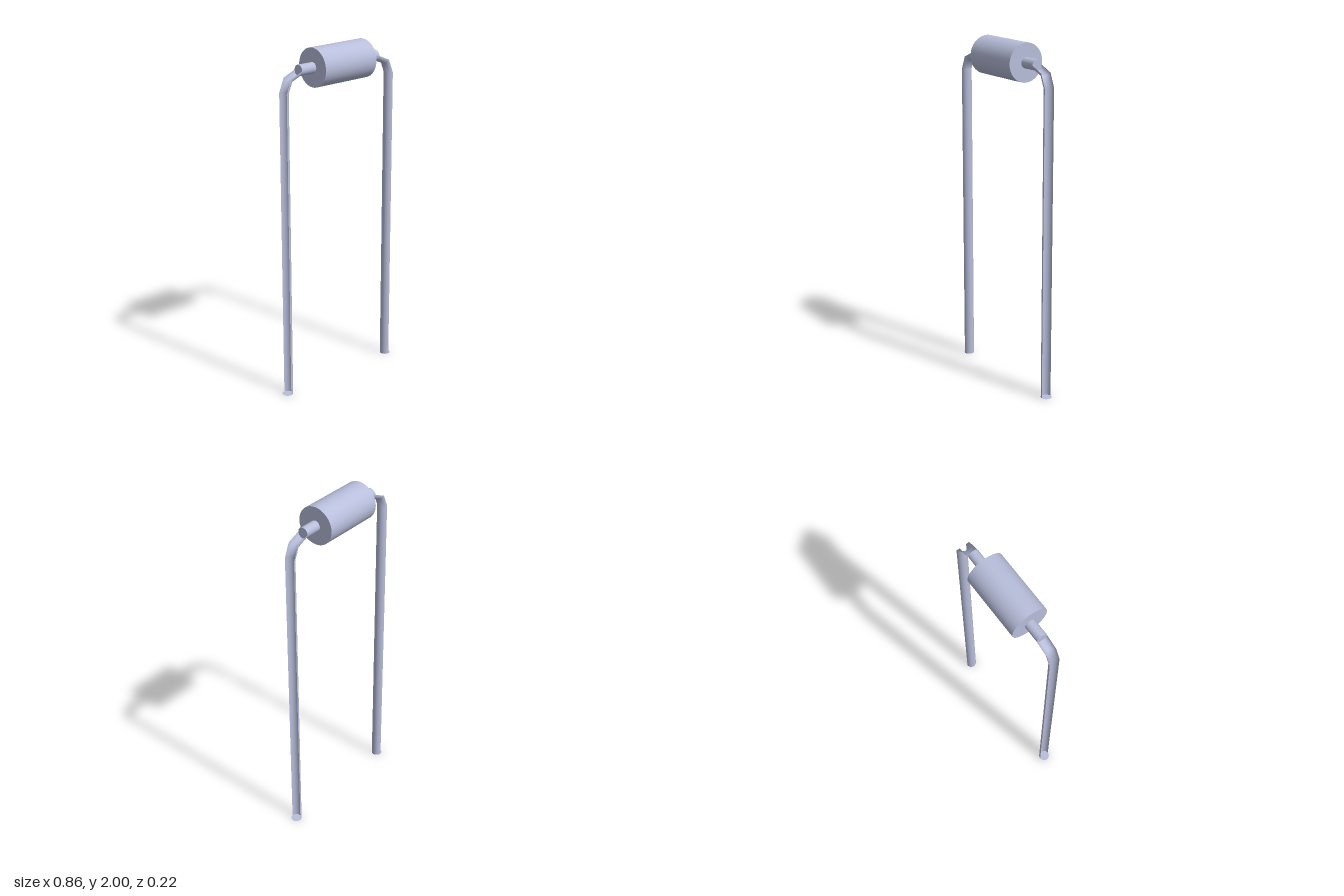
import * as THREE from 'three';

const AXIS_Y = 1.891, BODY_R = 0.109, BODY_LEN = 0.376;
const WIRE_R = 0.031, LEG_X = 0.398, BEND_R = 0.11;

// Half-round channel: follows the bend, then runs straight down to the ground
function channelGeometry(sides = 16) {
  const cx = LEG_X - BEND_R, cy = AXIS_Y - BEND_R;
  const rings = [0, Math.PI / 4, Math.PI / 2].map((a) => ({
    x: cx + BEND_R * Math.sin(a), y: cy + BEND_R * Math.cos(a), a,
  }));
  rings.push({ x: LEG_X, y: 0, a: Math.PI / 2 });

  const positions = [], indices = [];
  rings.forEach(({ x, y, a }, i) => {
    for (let j = 0; j <= sides; j++) {
      const t = (j / sides) * Math.PI;
      const inward = WIRE_R * Math.sin(t);
      positions.push(x - Math.sin(a) * inward, y - Math.cos(a) * inward, WIRE_R * Math.cos(t));
      if (i < rings.length - 1 && j < sides) {
        const p = i * (sides + 1) + j, q = p + sides + 1;
        indices.push(p, p + 1, q, p + 1, q + 1, q);
      }
    }
  });
  const geometry = new THREE.BufferGeometry();
  geometry.setAttribute('position', new THREE.Float32BufferAttribute(positions, 3));
  geometry.setIndex(indices);
  geometry.computeVertexNormals();
  return geometry;
}

export function createModel() {
  const model = new THREE.Group();
  model.name = 'axialComponent';
  const metal = new THREE.MeshStandardMaterial({ color: 0xb8bedb, side: THREE.DoubleSide });
  metal.name = 'paleLavenderGrey';

  const add = (parent, name, geometry) => {
    const mesh = new THREE.Mesh(geometry, metal);
    mesh.name = name;
    parent.add(mesh);
    return mesh;
  };

  // Horizontal barrel
  add(model, 'body', new THREE.CylinderGeometry(BODY_R, BODY_R, BODY_LEN, 48).rotateZ(Math.PI / 2))
    .position.y = AXIS_Y;

  // Matching leads, turned half a circle about the vertical axis
  const stubEnd = LEG_X - BEND_R, stubLen = stubEnd - BODY_LEN / 2;
  const stub = new THREE.CylinderGeometry(WIRE_R, WIRE_R, stubLen, 32).rotateZ(Math.PI / 2);
  const channel = channelGeometry();
  const foot = new THREE.CircleGeometry(WIRE_R, 32).rotateX(Math.PI / 2);
  ['left', 'right'].forEach((side, i) => {
    const lead = new THREE.Group();
    lead.name = side + 'Lead';
    lead.rotation.y = i * Math.PI;
    add(lead, side + 'Stub', stub).position.set(stubEnd - stubLen / 2, AXIS_Y, 0);
    add(lead, side + 'Leg', channel);
    add(lead, side + 'FootDisc', foot).position.x = LEG_X;
    model.add(lead);
  });

  return model;
}
